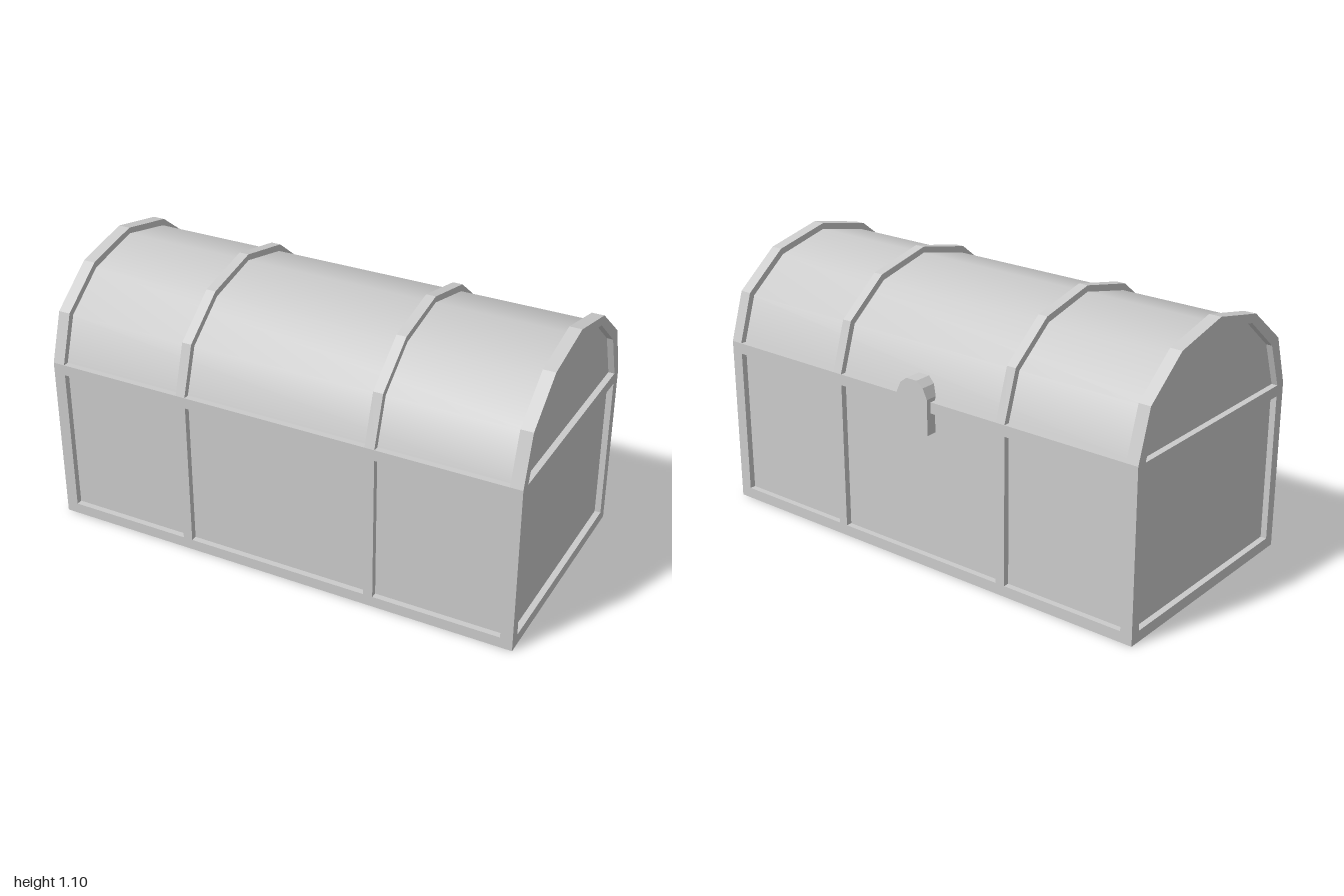
import * as THREE from 'three';

const material = new THREE.MeshStandardMaterial({ color: 0xcccccc, side: THREE.DoubleSide });
const RECESS = 0.025; // how far panels sit behind the frame

const named = (geometry, name) => {
  const mesh = new THREE.Mesh(geometry, material);
  mesh.name = name;
  return mesh;
};

// Mirrors a half profile [across, y] listed from the edge to the crown
const arch = (half) => [...half, ...half.slice(0, -1).reverse().map(([u, y]) => [-u, y])];

const outerArch = arch([[0.5, 0.7], [0.435, 0.9], [0.25, 1.045], [0, 1.1]]);
const lidArch = arch([[0.475, 0.7], [0.413, 0.885], [0.24, 1.02], [0, 1.075]]);
const endArch = arch([[0.455, 0.7], [0.39, 0.88], [0.225, 1.015], [0, 1.06]]);

const rect = (x0, x1, y0, y1) => [[x0, y0], [x1, y0], [x1, y1], [x0, y1]];
const toShape = (points) => new THREE.Shape(points.map(([x, y]) => new THREE.Vector2(x, y)));
const atX = (profile, x) => profile.map(([u, y]) => [x, y, u]);
const atZ = (outline, z) => outline.map(([x, y]) => [x, y, z]);

// Skins a surface across rows of points
function loft(rows, smooth = false) {
  const n = rows[0].length;
  const index = [];
  for (let r = 0; r < rows.length - 1; r++) {
    for (let c = 0; c < n - 1; c++) {
      const a = r * n + c, d = a + n;
      index.push(a, d, a + 1, a + 1, d, d + 1);
    }
  }
  let geometry = new THREE.BufferGeometry();
  geometry.setAttribute('position', new THREE.Float32BufferAttribute(rows.flat(2), 3));
  geometry.setIndex(index);
  if (!smooth) geometry = geometry.toNonIndexed();
  geometry.computeVertexNormals();
  return geometry;
}

// A frame sheet facing +z with recessed panels in its openings
function framedSide(name, outline, openings) {
  const side = new THREE.Group();
  side.name = name;
  const face = toShape(outline);
  face.holes = openings.map(toShape);
  side.add(named(new THREE.ShapeGeometry(face), 'frame'));
  for (const opening of openings) {
    const loop = [...opening, opening[0]];
    side.add(named(loft([atZ(loop, -RECESS), atZ(loop, 0)]), 'frameEdge'));
    const panel = named(new THREE.ShapeGeometry(toShape(opening)), 'panel');
    panel.position.z = -RECESS;
    side.add(panel);
  }
  return side;
}

export function createModel() {
  const model = new THREE.Group();
  model.name = 'chest';
  const body = new THREE.Group();
  body.name = 'chestBody';
  body.position.z = 0.01;
  model.add(body);

  // Long sides, each with three panels
  const bays = [[-0.95, -0.425], [-0.385, 0.385], [0.425, 0.95]];
  const longOpenings = bays.map(([a, b]) => rect(a, b, 0.045, 0.655));
  for (const s of [1, -1]) {
    const side = framedSide(s > 0 ? 'frontSide' : 'backSide', rect(-1, 1, 0, 0.7), longOpenings);
    side.position.z = 0.5 * s;
    if (s < 0) side.rotation.y = Math.PI;
    body.add(side);

    // Ledge where the lid meets the body
    const ledge = named(new THREE.PlaneGeometry(1.95, RECESS), 'ledge');
    ledge.rotation.x = -Math.PI / 2;
    ledge.position.set(0, 0.7, s * (0.5 - RECESS / 2));
    body.add(ledge);
  }

  // Ends: a square panel below an arched one
  const endOutline = [[-0.5, 0], [0.5, 0], ...outerArch];
  for (const s of [1, -1]) {
    const end = framedSide(s > 0 ? 'leftEnd' : 'rightEnd', endOutline,
      [rect(-0.455, 0.455, 0.045, 0.655), endArch]);
    end.position.x = s;
    end.rotation.y = s * Math.PI / 2;
    body.add(end);
  }

  // Raised floor, open below the rim
  const floor = named(new THREE.PlaneGeometry(2 - 2 * RECESS, 1 - 2 * RECESS), 'floor');
  floor.rotation.x = Math.PI / 2;
  floor.position.y = 0.045;
  body.add(floor);

  // Smooth lid and the ribs over it
  body.add(named(loft([atX(lidArch, -0.975), atX(lidArch, 0.975)], true), 'lid'));
  for (const [a, b] of [[-1, -0.95], [-0.425, -0.385], [0.385, 0.425], [0.95, 1]]) {
    const rows = [atX(outerArch, a), atX(outerArch, b)];
    if (a > -1) rows.unshift(atX(lidArch, a));
    if (b < 1) rows.push(atX(lidArch, b));
    body.add(named(loft(rows), 'lidRib'));
  }

  // Clasp with a rounded top
  const claspOutline = [[-0.075, 0.57], [0.075, 0.57], [0.075, 0.715], [0.055, 0.757],
    [0.025, 0.78], [-0.025, 0.78], [-0.055, 0.757], [-0.075, 0.715]];
  const clasp = named(new THREE.ExtrudeGeometry(toShape(claspOutline),
    { depth: 0.08, bevelEnabled: false }), 'clasp');
  clasp.position.z = -0.51;
  model.add(clasp);

  return model;
}
